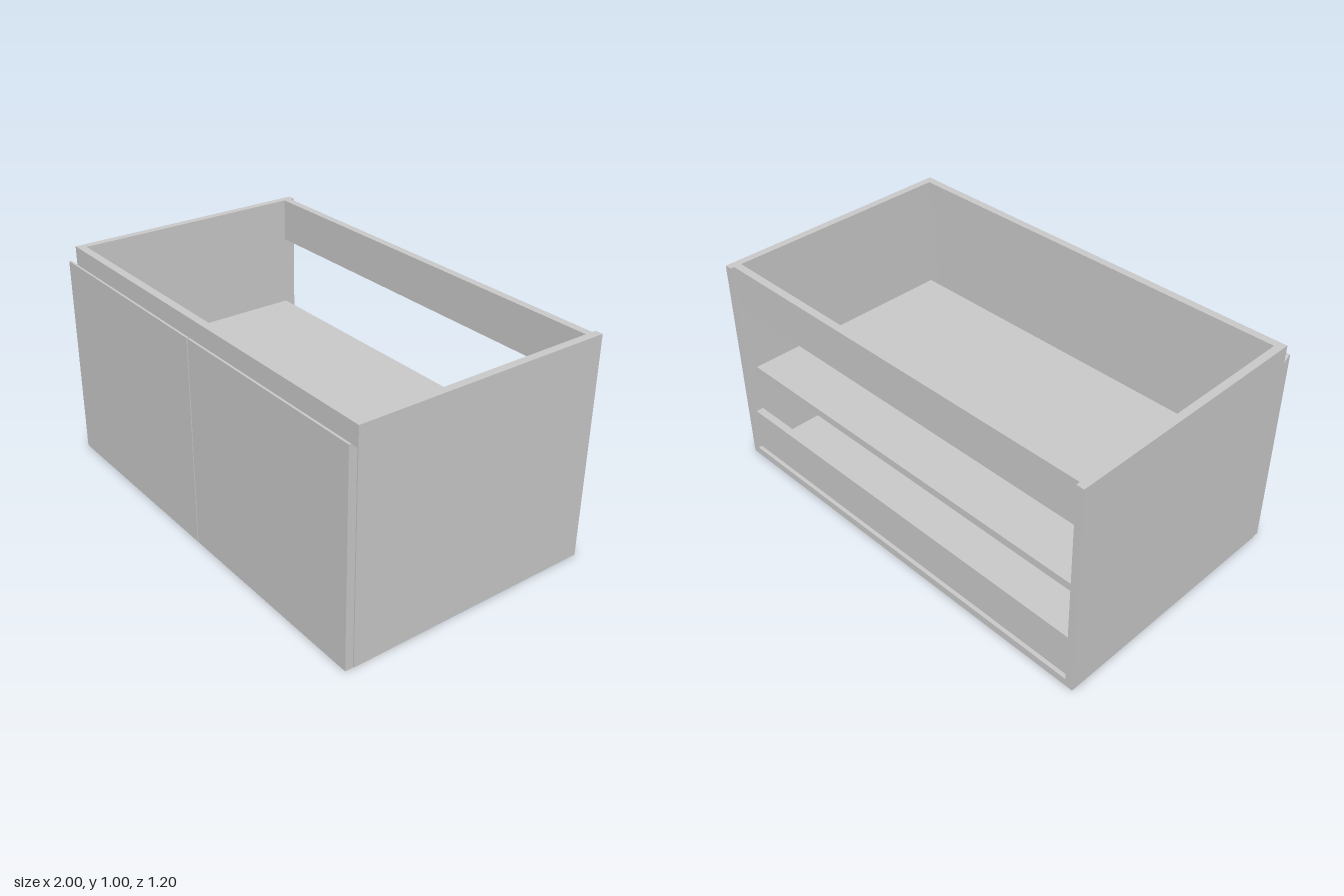
import * as THREE from 'three';

const material = new THREE.MeshStandardMaterial({ color: 0xcccccc, flatShading: true });

// Board given by its limits on each axis
function board(name, [x0, x1], [y0, y1], [z0, z1]) {
  const mesh = new THREE.Mesh(new THREE.BoxGeometry(x1 - x0, y1 - y0, z1 - z0), material);
  mesh.position.set((x0 + x1) / 2, (y0 + y1) / 2, (z0 + z1) / 2);
  mesh.name = name;
  return mesh;
}

// Door slab with a finger-pull bevel on the rear of its top edge
function door(name, x0, x1) {
  const profile = new THREE.Shape([
    [0.563, 0.001], [0.598, 0.001], [0.598, 0.94], [0.588, 0.94], [0.563, 0.915],
  ].map(([z, y]) => new THREE.Vector2(-z, y)));
  const geometry = new THREE.ExtrudeGeometry(profile, { depth: x1 - x0, bevelEnabled: false });
  geometry.rotateY(Math.PI / 2); // depth runs along x, profile z faces forward
  const mesh = new THREE.Mesh(geometry, material);
  mesh.position.x = x0;
  mesh.name = name;
  return mesh;
}

export function createModel() {
  const cabinet = new THREE.Group();
  cabinet.name = 'baseCabinet';
  const inner = 0.965;
  const span = [-inner, inner];

  cabinet.add(
    // Side panels
    board('leftSide', [inner, 1], [0, 1], [-0.598, 0.56]),
    board('rightSide', [-1, -inner], [0, 1], [-0.598, 0.56]),
    // Floor and shelf
    board('bottomPanel', span, [0, 0.036], [-0.598, 0.56]),
    board('shelf', [-0.963, 0.963], [0.435, 0.471], [-0.545, 0.51]),
    // Rails joining the sides
    board('frontRail', span, [0.88, 1], [0.524, 0.56]),
    board('upperBackRail', span, [0.8, 1], [-0.58, -0.545]),
    board('lowerBackRail', span, [0.036, 0.24], [-0.58, -0.545]),
    // Doors
    door('leftDoor', 0.003, 0.998),
    door('rightDoor', -0.998, -0.003),
  );
  return cabinet;
}
